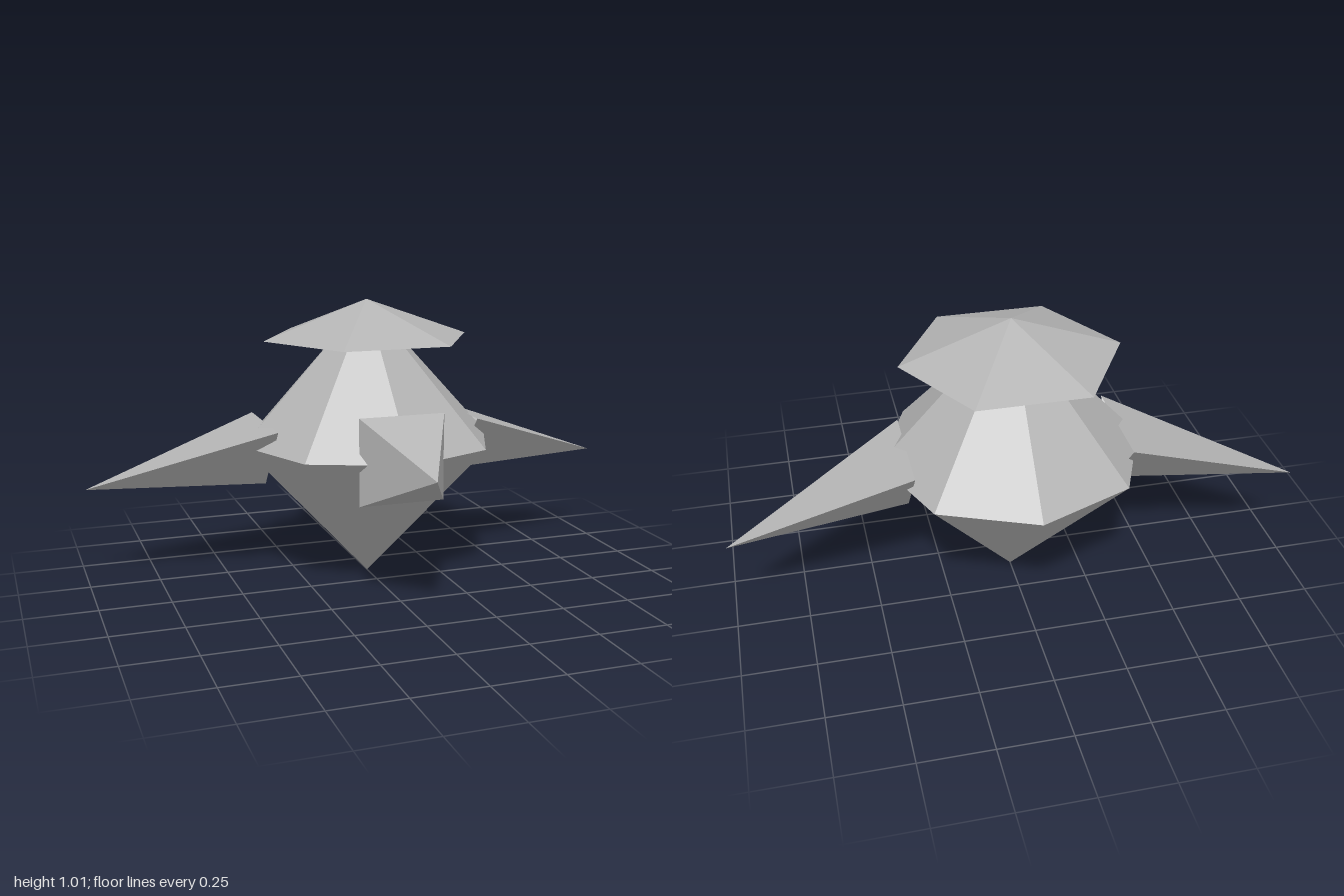
import * as THREE from 'three';

const grey = new THREE.MeshStandardMaterial({
  name: 'grey', color: 0xb4b4b4, flatShading: true, side: THREE.DoubleSide,
});

// Hollow pyramid: triangles from an apex to a loop of base corners (counter-clockwise seen from the apex)
function pyramid(name, apex, base) {
  const points = [];
  base.forEach((corner, i) => points.push(...apex, ...corner, ...base[(i + 1) % base.length]));
  const geometry = new THREE.BufferGeometry();
  geometry.setAttribute('position', new THREE.Float32BufferAttribute(points, 3));
  geometry.computeVertexNormals();
  const mesh = new THREE.Mesh(geometry, grey);
  mesh.name = name;
  return mesh;
}

// Horizontal regular polygon around the body axis, counter-clockwise from above
function ring(sides, radius, y, z) {
  return Array.from({ length: sides }, (_, i) => {
    const a = (i / sides) * Math.PI * 2;
    return [radius * Math.cos(a), y, z - radius * Math.sin(a)];
  });
}

export function createModel() {
  const model = new THREE.Group();
  model.name = 'bird';
  const axisZ = -0.113;

  // Eight-sided double cone body
  const waist = ring(8, 0.464, 0.511, axisZ);
  model.add(pyramid('upperBody', [0, 1.016, axisZ], waist));
  model.add(pyramid('lowerBody', [0, 0.005, axisZ], [...waist].reverse()));

  // Six-sided hat, open below
  model.add(pyramid('hat', [0, 1.017, axisZ], ring(6, 0.381, 0.881, axisZ)));

  // Four-sided beak
  const s = 0.152;
  model.add(pyramid('beak', [0, 0.511, 0.578],
    [[-s, -s], [s, -s], [s, s], [-s, s]].map(([x, y]) => [x, 0.511 + y, 0.258])));

  // Three-sided swept wings, mirrored
  for (const side of [1, -1]) {
    const root = [[0.586, 0.04], [0.36, -0.152], [0.586, -0.345]]
      .map(([y, z]) => [side * 0.372, y, z]);
    if (side > 0) root.reverse();
    // Corner order follows the side so faces point outward
    root.reverse();
    model.add(pyramid(side > 0 ? 'leftWing' : 'rightWing', [side, 0.36, -0.27], root));
  }
  return model;
}
